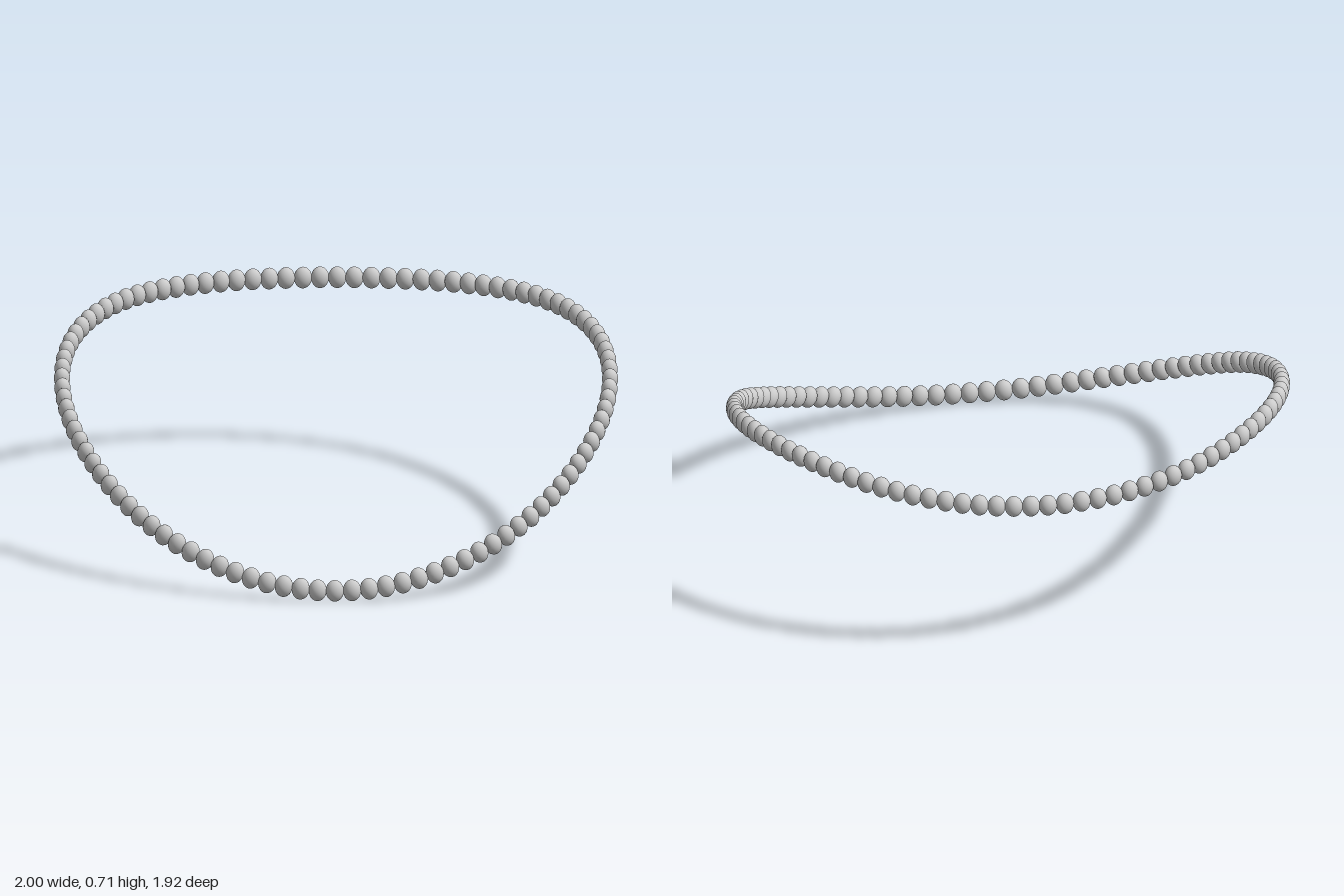
import * as THREE from 'three';

const BEADS = 102;

// Height of the strand for a given depth z, back (high) to front (low)
const slope = [
  [-0.932, 0.646], [-0.8, 0.66], [-0.6, 0.668], [-0.4, 0.652], [-0.2, 0.615], [0, 0.56],
  [0.2, 0.487], [0.4, 0.394], [0.6, 0.277], [0.8, 0.142], [0.932, 0.04],
];
const profile = new THREE.SplineCurve(slope.map(([z, y]) => new THREE.Vector2(z, y)));
const samples = profile.getPoints(200);

function heightAt(z) {
  for (let i = 1; i < samples.length; i++) {
    const a = samples[i - 1], b = samples[i];
    if (z <= b.x) return THREE.MathUtils.mapLinear(z, a.x, b.x, a.y, b.y);
  }
  return samples[samples.length - 1].y;
}

export function createModel() {
  const group = new THREE.Group();
  group.name = 'beadNecklace';
  const material = new THREE.MeshStandardMaterial({ color: 0xcccccc });

  // Closed loop the beads are strung on, slightly fuller towards the front
  const points = [];
  for (let i = 0; i < 48; i++) {
    const a = (i / 48) * Math.PI * 2;
    const z = 0.932 * Math.cos(a) + 0.02 * Math.sin(a) ** 2;
    points.push(new THREE.Vector3(0.969 * Math.sin(a), heightAt(z), z));
  }
  const strand = new THREE.CatmullRomCurve3(points, true);
  strand.arcLengthDivisions = 1000;

  // One slightly tall bead: x is radial, y is up, z runs along the strand
  const beadGeometry = new THREE.SphereGeometry(1, 20, 14);
  beadGeometry.scale(0.029, 0.039, 0.032);

  const up = new THREE.Vector3(0, 1, 0);
  const basis = new THREE.Matrix4();
  for (let i = 0; i < BEADS; i++) {
    const tangent = strand.getTangentAt(i / BEADS);
    const side = new THREE.Vector3().crossVectors(up, tangent).normalize();
    const normal = new THREE.Vector3().crossVectors(tangent, side);
    const bead = new THREE.Mesh(beadGeometry, material);
    bead.name = `bead${i + 1}`;
    bead.position.copy(strand.getPointAt(i / BEADS));
    bead.quaternion.setFromRotationMatrix(basis.makeBasis(side, normal, tangent));
    group.add(bead);
  }
  return group;
}
